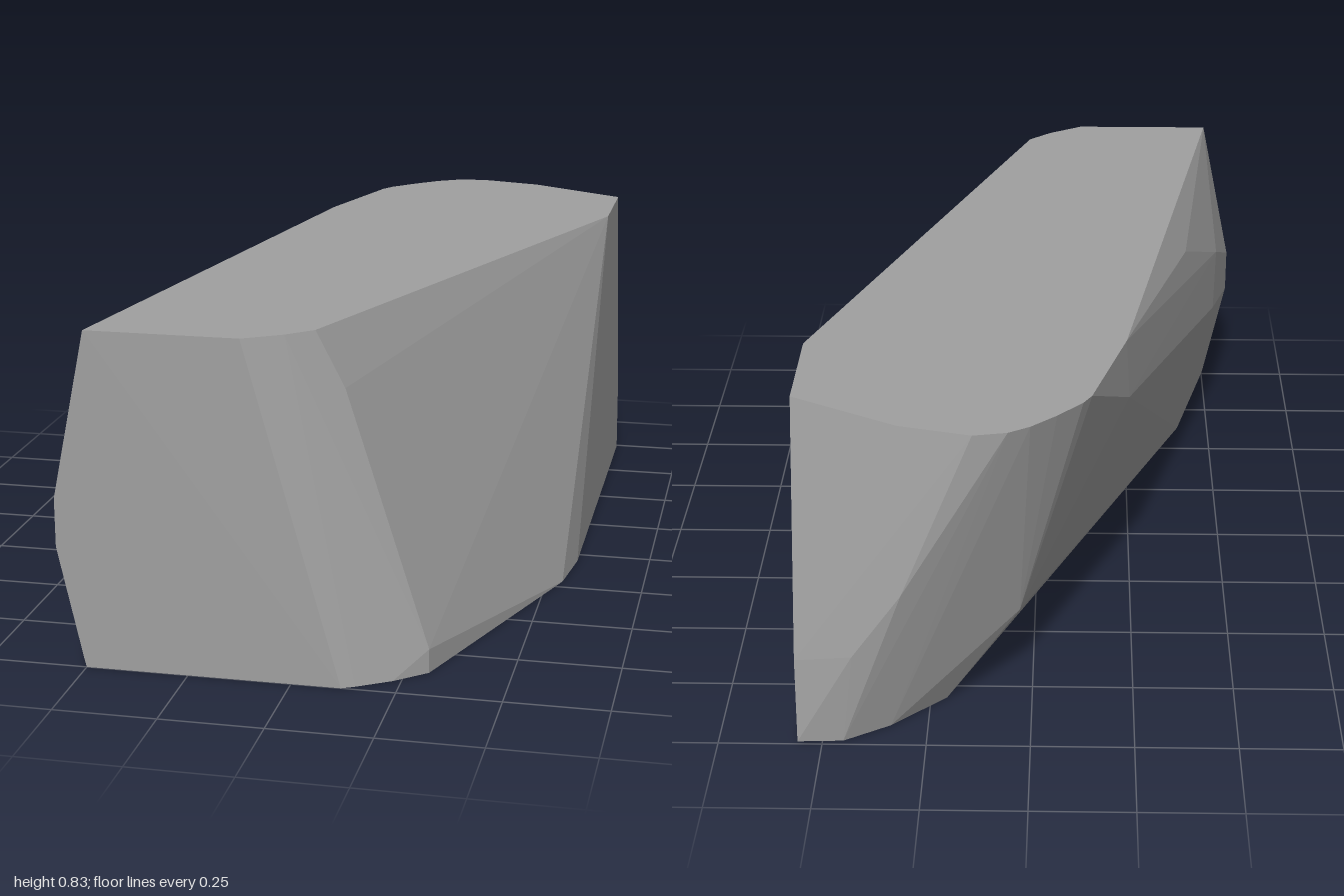
import * as THREE from 'three';
import { ConvexGeometry } from 'three/addons/geometries/ConvexGeometry.js';

// Outlines of the stone at the top and bottom, as [x, z]
const H = 0.83;
const topOutline = [
  [-0.48, 1], [-0.11, 1], [-0.02, 0.945], [0.04, 0.89], [0.56, -0.51], [0.56, -0.79],
  [0.3, -0.932], [0.13, -0.975], [0.05, -0.96], [0, -0.93], [-0.06, -0.875],
  [-0.12, -0.81], [-0.14, -0.775], [-0.225, -0.48],
];
const bottomOutline = [
  [-0.5, 1], [0.12, 1], [0.15, 0.985], [0.23, 0.935], [0.305, 0.87], [0.54, 0.21], [0.56, 0.05],
  [0.56, -0.99], [0.45, -0.985], [0.34, -0.92], [0.21, -0.8], [-0.41, 0.63],
];
// Bulging corners between the two outlines, as [x, y, z]
const bulges = [
  [-0.505, 0.02, 1], [-0.565, 0.3, 1], [-0.565, 0.42, 1], // right front edge
  [-0.51, 0.57, 0.66], [-0.505, 0.4, 0.64], [-0.4, 0.74, 0.27], [-0.235, 0.66, -0.45], // long side
  [0.105, 0.69, 0.87], [0.305, 0.06, 0.87], // front corner
  [0.03, 0.24, -0.77], // undercut rear corner
  [0.56, 0.22, -0.97], [0.42, 0.25, -1], [0.3, 0.42, -1], // rear end
];

export function createModel() {
  const stoneGrey = new THREE.MeshStandardMaterial({ color: 0xa0a0a0, flatShading: true });
  stoneGrey.name = 'stone grey';

  const points = [
    ...topOutline.map(([x, z]) => new THREE.Vector3(x, H, z)),
    ...bottomOutline.map(([x, z]) => new THREE.Vector3(x, 0, z)),
    ...bulges.map((p) => new THREE.Vector3(...p)),
  ];
  const stone = new THREE.Mesh(new ConvexGeometry(points), stoneGrey);
  stone.name = 'stone';

  const model = new THREE.Group();
  model.name = 'facetedStone';
  model.add(stone);
  return model;
}
